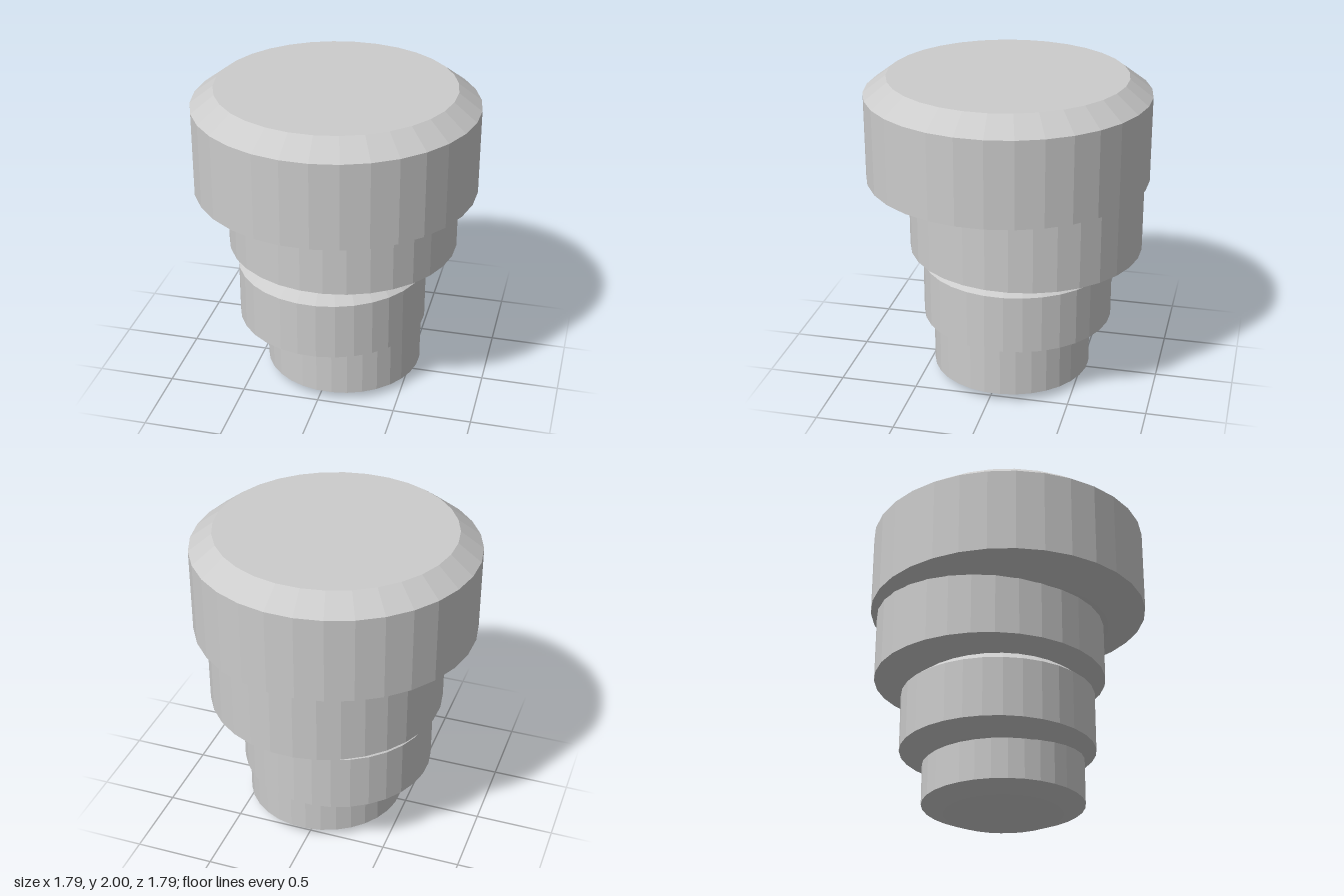
import * as THREE from 'three';

// One bevelled disc: radius r, straight wall starting at height y, centred on x, z
const tiers = [
  { name: 'bottomTier', r: 0.512, y: 0.055, x: 0.05, z: -0.04 },
  { name: 'lowerMiddleTier', r: 0.617, y: 0.375, x: -0.036, z: -0.058 },
  { name: 'upperMiddleTier', r: 0.745, y: 0.885, x: 0.018, z: -0.124 },
  { name: 'topTier', r: 0.898, y: 1.345, x: 0, z: 0 },
];

// Shared silhouette for a disc of radius 1: underside bevel, wall, top bevel
const profile = [
  [0, -0.107], [0.73, -0.107], [1, 0], [1, 0.608], [0.838, 0.73], [0, 0.73],
].map(([x, y]) => new THREE.Vector2(x, y));

export function createModel() {
  const group = new THREE.Group();
  group.name = 'steppedStack';
  const material = new THREE.MeshStandardMaterial({ color: 0xcccccc, flatShading: true });

  // Four offset discs, growing towards the top
  for (const { name, r, y, x, z } of tiers) {
    const points = profile.map((p) => p.clone().multiplyScalar(r));
    const mesh = new THREE.Mesh(new THREE.LatheGeometry(points, 32, 0.067), material);
    mesh.name = name;
    mesh.position.set(x, y, z);
    group.add(mesh);
  }
  return group;
}
